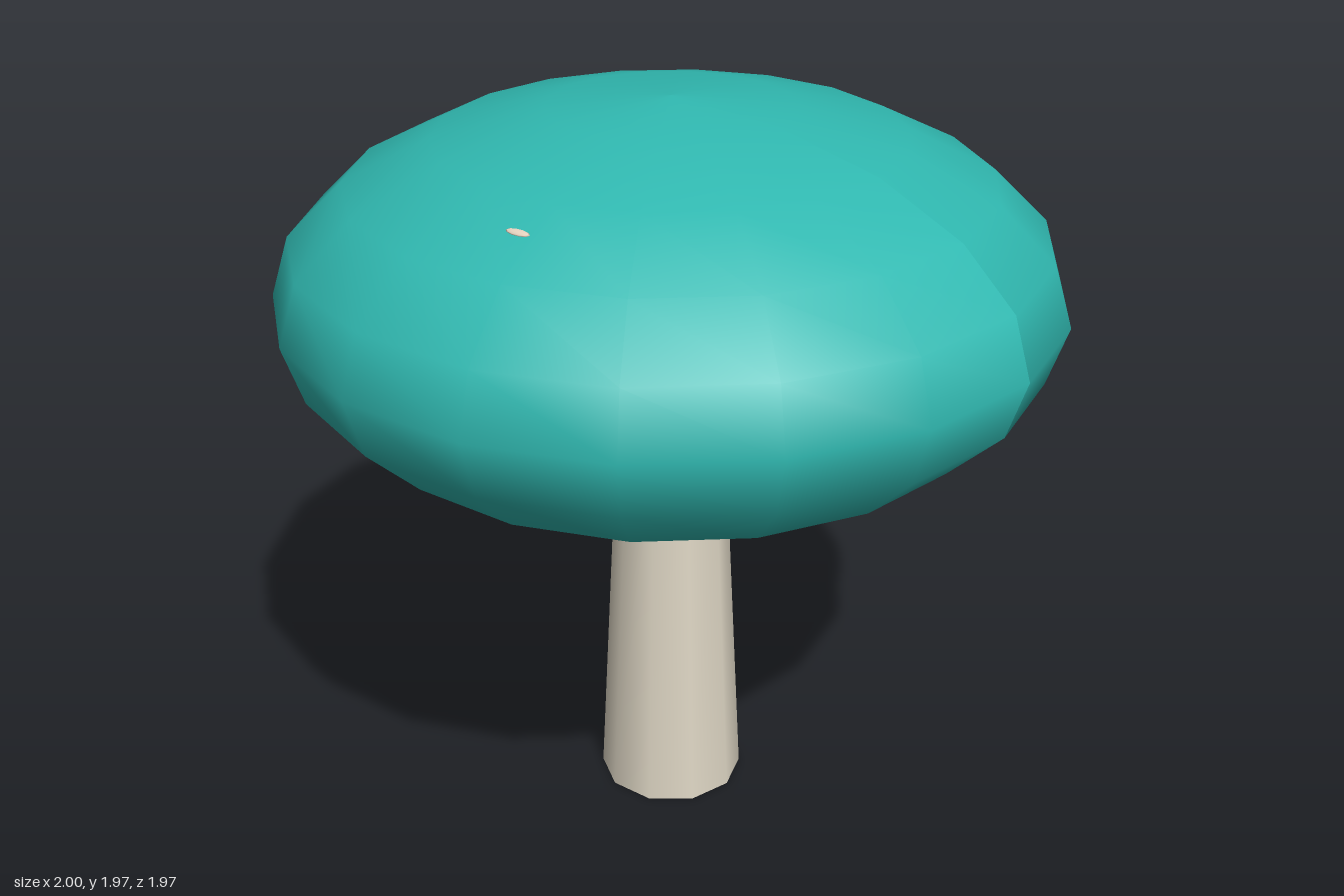
import * as THREE from 'three';

const material = (name, color) => {
  const m = new THREE.MeshStandardMaterial({ color });
  m.name = name;
  return m;
};

export function createModel() {
  const teal = material('teal', 0x30b8b0);
  const cream = material('cream', 0xded6c4);
  const paleSpot = material('pale spot', 0xf0dcc8);
  const group = new THREE.Group();
  group.name = 'mushroom';

  const add = (name, geometry, mat, x, y, z) => {
    const mesh = new THREE.Mesh(geometry, mat);
    mesh.name = name;
    mesh.position.set(x, y, z);
    group.add(mesh);
    return mesh;
  };

  // Tapered ten-sided stem, its top tucked just inside the cap
  const stem = new THREE.CylinderGeometry(0.145, 0.197, 1.03, 10);
  stem.rotateY(Math.PI / 2);
  add('stem', stem, cream, 0, 0.515, 0);

  // Flattened cap, with its shading seam on the left side
  const cap = new THREE.SphereGeometry(1, 18, 10);
  cap.scale(1, 0.492, 1);
  cap.rotateY(Math.PI);
  cap.computeVertexNormals();
  add('cap', cap, teal, 0, 1.475, 0);

  // Small spot lying on the sloping front of the cap
  const spot = new THREE.SphereGeometry(1, 10, 6);
  spot.scale(0.034, 0.004, 0.01);
  add('spot', spot, paleSpot, 0.08, 1.829, 0.667).rotation.x = 0.46;

  return group;
}
